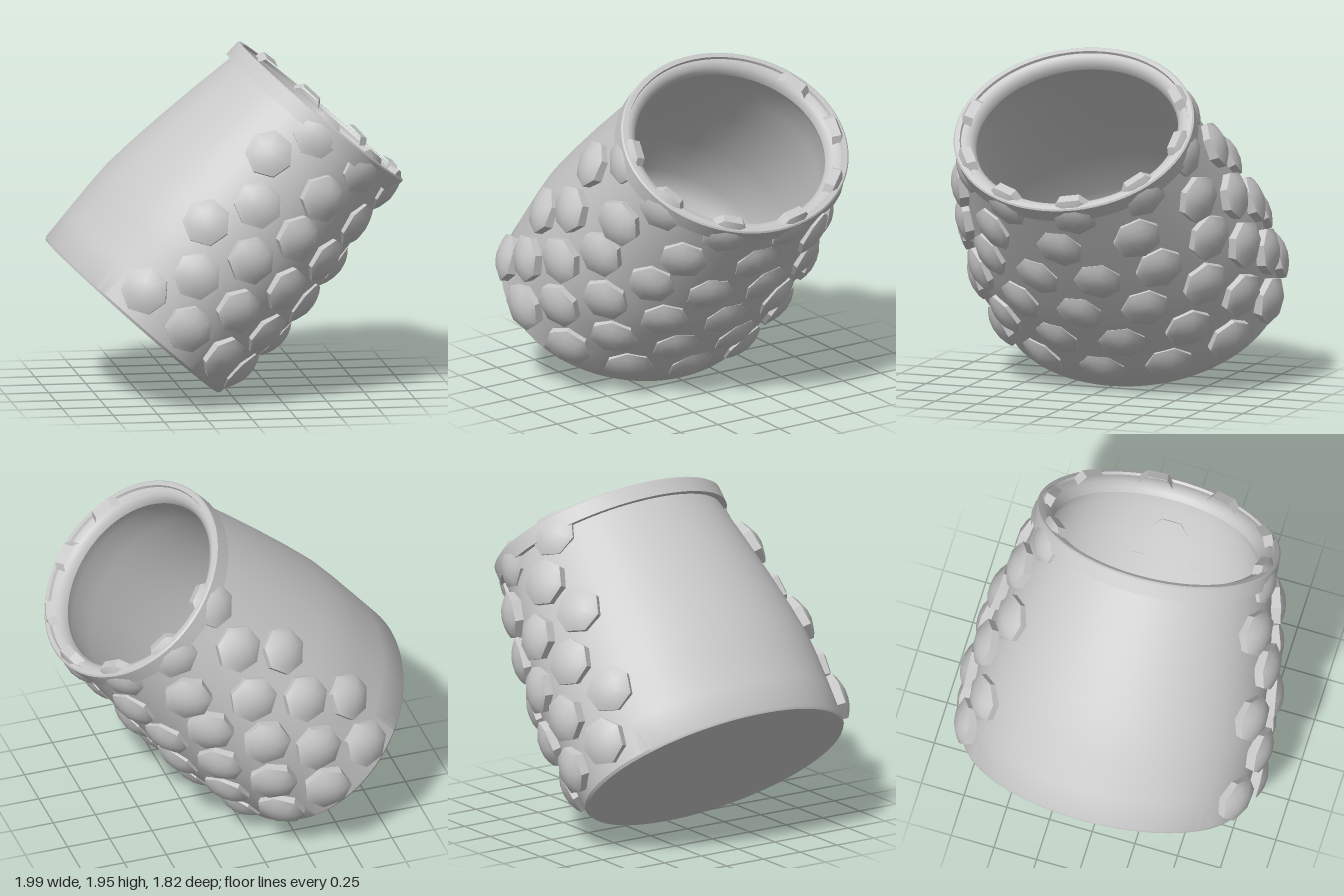
import * as THREE from 'three';
import { toCreasedNormals } from 'three/addons/utils/BufferGeometryUtils.js';

const TILT = -0.7068;

// outer wall: [radius, height along the axis]; the end is hidden in the collar
const WALL = [
  [0.636, 0], [0.646, 0.015], [0.657, 0.2], [0.669, 0.42], [0.672, 0.55], [0.66, 0.72],
  [0.636, 0.95], [0.604, 1.2], [0.567, 1.45], [0.56, 1.5],
];

function wallRadius(a) {
  const i = Math.max(1, WALL.findIndex(([, height]) => a <= height));
  const [r0, a0] = WALL[i - 1], [r1, a1] = WALL[i];
  return r0 + (r1 - r0) * (a - a0) / (a1 - a0);
}

// the vessel is oval, leans slightly, and its base is a little askew
function ovalPoint(x, a, z) {
  const u = x - 0.68 + 0.048 * a;
  const drop = 0.032 * (1 + u / 1.3) * (1 - a / 1.5);
  return new THREE.Vector3(u, a - Math.max(0, drop), z * (1.265 - 0.06 * a));
}

function surfacePoint(angle, a) {
  const r = wallRadius(a);
  return ovalPoint(r * Math.cos(angle), a, r * Math.sin(angle));
}

function ovalLathe(profile, crease) {
  const g = new THREE.LatheGeometry(profile.map(([r, a]) => new THREE.Vector2(r, a)), 96);
  const p = g.attributes.position;
  for (let i = 0; i < p.count; i++) {
    const v = ovalPoint(p.getX(i), p.getY(i), p.getZ(i));
    p.setXYZ(i, v.x, v.y, v.z);
  }
  return toCreasedNormals(g, crease);
}

export function createModel() {
  const model = new THREE.Group();
  const vessel = new THREE.Group();
  vessel.name = 'vessel';
  vessel.rotation.z = TILT;
  model.add(vessel);

  const grey = new THREE.MeshStandardMaterial({ color: 0xc8c8c8 });
  grey.name = 'grey';
  const add = (name, geometry) => {
    const mesh = new THREE.Mesh(geometry, grey);
    mesh.name = name;
    vessel.add(mesh);
    return mesh;
  };

  // closed base and outer wall
  add('outerWall', ovalLathe([[0, 0], ...WALL], 0.6));

  // collar with a step and a rounded inner lip
  add('collar', ovalLathe([
    [0.55, 1.45], [0.598, 1.45], [0.598, 1.54], [0.59, 1.548], [0.566, 1.548], [0.562, 1.532],
    [0.545, 1.53], [0.522, 1.515], [0.505, 1.49], [0.5, 1.46],
  ], 0.6));

  // hollow inside
  add('innerWall', ovalLathe([
    [0.5, 1.46], [0.53, 1.38], [0.555, 1.2], [0.585, 0.95], [0.615, 0.55],
    [0.6, 0.25], [0.56, 0.12], [0.45, 0.06], [0, 0.05],
  ], 0.9));

  // seven-sided domed stud
  const studProfile = [[0.13, -0.045], [0.137, 0.01], [0.105, 0.029], [0.06, 0.046], [0, 0.054]];
  const stud = toCreasedNormals(
    new THREE.LatheGeometry(studProfile.map(([r, y]) => new THREE.Vector2(r, y)), 7), 0.6);

  // rows from base to rim: height, middle angle, angle step, studs to each side
  const rows = [
    [0.18, 0, 27.5, 4], [0.432, -13, 27.5, 4], [0.688, 0, 27.5, 4],
    [0.945, -12.5, 27.5, 4], [1.2, 0, 36.7, 3], [1.455, -12, 36.7, 3],
  ];
  rows.forEach(([a, middle, step, side], row) => {
    const onRim = row === rows.length - 1;
    for (let k = -side; k <= side; k++) {
      const angle = THREE.MathUtils.degToRad(middle + step * k);
      const around = surfacePoint(angle - 0.01, a).sub(surfacePoint(angle + 0.01, a));
      const along = surfacePoint(angle, a + 0.01).sub(surfacePoint(angle, a - 0.02));
      const normal = around.cross(along).normalize();
      // a flat side of the stud points to the rim
      const down = along.normalize().negate();
      const sideways = normal.clone().cross(down);
      const mesh = add(onRim ? 'rimStud' : 'stud', stud);
      mesh.quaternion.setFromRotationMatrix(new THREE.Matrix4().makeBasis(sideways, normal, down));
      // studs stand prouder on the broad sides
      const lift = onRim ? 0 : -0.012 + 0.045 * Math.sin(angle) ** 2;
      mesh.position.copy(surfacePoint(angle, a)).addScaledVector(normal, lift);
    }
  });
  return model;
}
